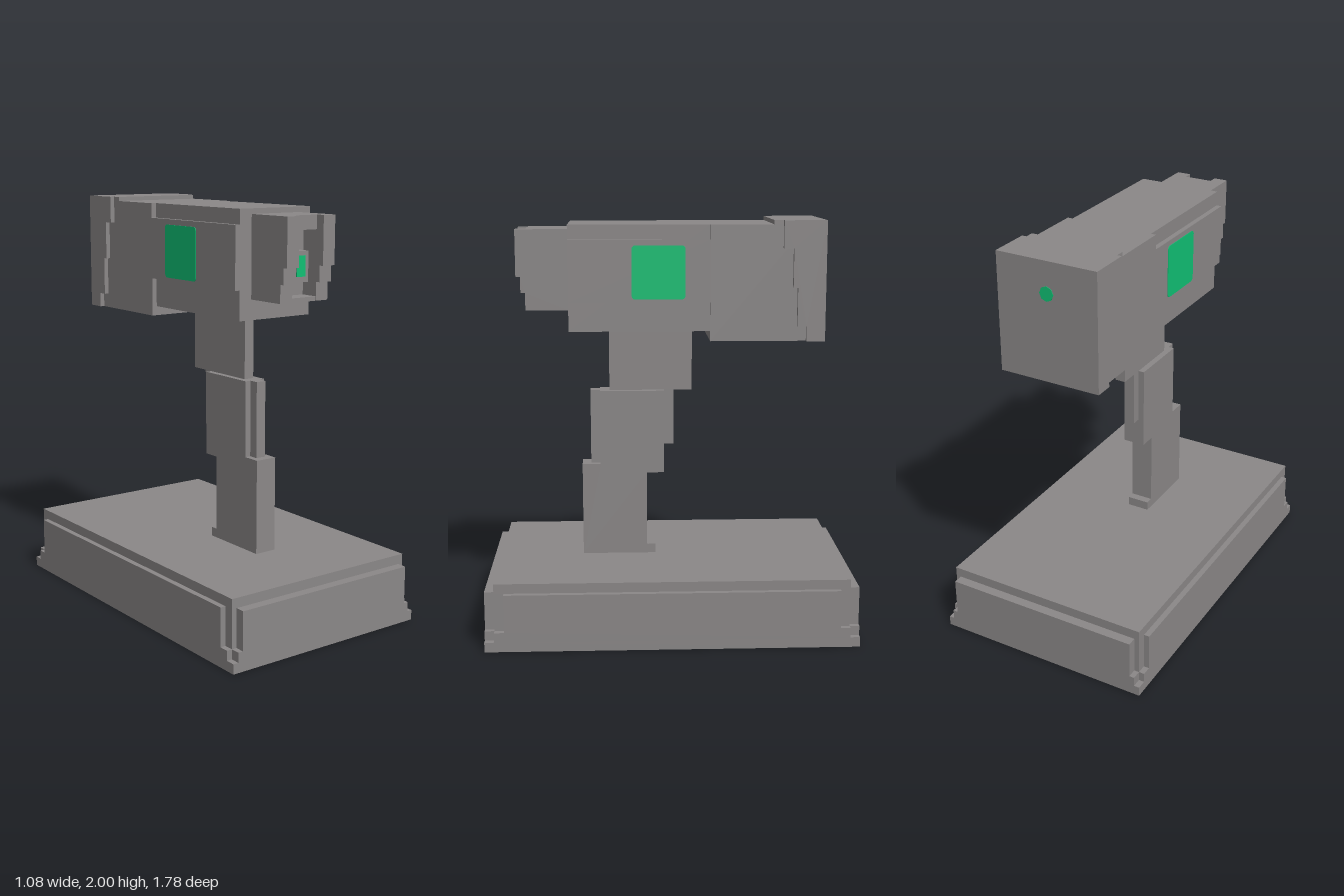
import * as THREE from 'three';

const grey = new THREE.MeshStandardMaterial({ color: 0x8b8888 });
grey.name = 'grey casing';
const green = new THREE.MeshStandardMaterial({ color: 0x10c074 });
green.name = 'green light';

const shapeOf = (pts) => new THREE.Shape(pts.map(([a, b]) => new THREE.Vector2(a, b)));

function add(parent, name, geometry, material = grey) {
  const mesh = new THREE.Mesh(geometry, material);
  mesh.name = name;
  parent.add(mesh);
  return mesh;
}

// Box given by its limits on each axis
function block(parent, name, [x0, x1], [y0, y1], [z0, z1], material) {
  const g = new THREE.BoxGeometry(x1 - x0, y1 - y0, z1 - z0);
  g.translate((x0 + x1) / 2, (y0 + y1) / 2, (z0 + z1) / 2);
  return add(parent, name, g, material);
}

// Side outline of [z, y] points, extruded across x about centre cx
function sideProfile(parent, name, pts, width, cx = 0) {
  const g = new THREE.ExtrudeGeometry(shapeOf(pts), { depth: width, bevelEnabled: false });
  g.translate(0, 0, -width / 2).rotateY(-Math.PI / 2).translate(cx, 0, 0);
  return add(parent, name, g);
}

// Horizontal slab whose corner outline [x, z] is mirrored into all four quadrants
function slab(parent, name, corner, y0, y1) {
  const back = [...corner].reverse();
  const pts = [
    ...corner,
    ...back.map(([x, z]) => [-x, z]),
    ...corner.map(([x, z]) => [-x, -z]),
    ...back.map(([x, z]) => [x, -z]),
  ];
  const g = new THREE.ExtrudeGeometry(shapeOf(pts), { depth: y1 - y0, bevelEnabled: false });
  g.rotateX(-Math.PI / 2).translate(0, y0, 0);
  return add(parent, name, g);
}

function group(parent, name) {
  const g = new THREE.Group();
  g.name = name;
  parent.add(g);
  return g;
}

export function createModel() {
  const model = new THREE.Group();
  model.name = 'deskScanner';

  // Base with stepped corners
  const base = group(model, 'base');
  slab(base, 'baseFoot', [[0.542, 0.892]], 0, 0.048);
  slab(base, 'baseLower', [[0.542, 0.845], [0.515, 0.845], [0.515, 0.892]], 0.048, 0.095);
  slab(base, 'baseMiddle',
    [[0.542, 0.798], [0.515, 0.798], [0.515, 0.845], [0.49, 0.845], [0.49, 0.892]], 0.095, 0.28);
  slab(base, 'baseTop', [[0.515, 0.845]], 0.28, 0.327);

  // Leaning, stepped neck
  const neck = group(model, 'neck');
  sideProfile(neck, 'neckLower', [
    [0.432, 0.327], [0.07, 0.327], [0.07, 0.372], [0.111, 0.372], [0.111, 0.745], [0.025, 0.745],
    [0.025, 1.16], [0.342, 1.16], [0.342, 0.79], [0.432, 0.79],
  ].reverse(), 0.112);
  block(neck, 'neckFrontRib', [-0.026, 0.026], [0.79, 1.16], [0.342, 0.389]);
  block(neck, 'neckBackRib', [-0.026, 0.026], [0.885, 1.16], [-0.022, 0.025]);
  block(neck, 'neckUpper', [-0.026, 0.026], [1.16, 1.475], [-0.113, 0.295]);

  // Head casing
  const head = group(model, 'head');
  block(head, 'headCore', [-0.205, 0.205], [1.475, 1.98], [-0.188, 0.485]);
  block(head, 'headBand', [-0.23, 0.23], [1.615, 1.91], [-0.188, 0.485]);
  block(head, 'headRear', [-0.23, 0.23], [1.43, 1.98], [-0.646, -0.188]);

  // Rear cap with stepped front edge
  block(head, 'capLip', [-0.23, 0.23], [1.98, 2], [-0.532, -0.487]);
  sideProfile(head, 'rearCap', [
    [-0.735, 1.43], [-0.646, 1.43], [-0.646, 1.5], [-0.602, 1.5], [-0.602, 1.685],
    [-0.58, 1.685], [-0.58, 1.87], [-0.532, 1.87], [-0.532, 2], [-0.735, 2],
  ], 0.504);

  // Hollow nozzle with stepped cheeks
  const nozzle = group(model, 'nozzle');
  for (const s of [-1, 1]) {
    sideProfile(nozzle, 'nozzleCheek', [
      [0.485, 1.57], [0.692, 1.57], [0.692, 1.655], [0.714, 1.655],
      [0.714, 1.73], [0.736, 1.73], [0.736, 1.955], [0.485, 1.955],
    ], 0.068, s * 0.104);
  }
  block(nozzle, 'nozzleTop', [-0.07, 0.07], [1.89, 1.955], [0.485, 0.69]);
  block(nozzle, 'nozzleSill', [-0.07, 0.07], [1.57, 1.59], [0.485, 0.69]);
  block(nozzle, 'nozzleBack', [-0.07, 0.07], [1.59, 1.89], [0.485, 0.6]);
  block(nozzle, 'lensHousing', [-0.045, 0.045], [1.655, 1.795], [0.6, 0.665]);
  block(nozzle, 'lens', [-0.025, 0.025], [1.68, 1.775], [0.664, 0.669], green);

  // Rounded green panels on both sides
  const r = 0.018, h = 0.127;
  const panel = new THREE.Shape();
  panel.absarc(h - r, h - r, r, 0, Math.PI / 2);
  panel.absarc(r - h, h - r, r, Math.PI / 2, Math.PI);
  panel.absarc(r - h, r - h, r, Math.PI, Math.PI * 1.5);
  panel.absarc(h - r, r - h, r, Math.PI * 1.5, Math.PI * 2);
  const panelGeometry = new THREE.ExtrudeGeometry(panel,
    { depth: 0.004, bevelEnabled: false, curveSegments: 4 });
  for (const s of [-1, 1]) {
    const p = add(head, 'sidePanel', panelGeometry, green);
    p.rotation.y = s * Math.PI / 2;
    p.position.set(s * 0.229, 1.757, 0.057);
  }

  // Small round light on the back
  const light = add(head, 'rearLight', new THREE.CylinderGeometry(0.035, 0.035, 0.004, 8), green);
  light.rotation.x = Math.PI / 2;
  light.position.set(0, 1.85, -0.736);

  return model;
}
